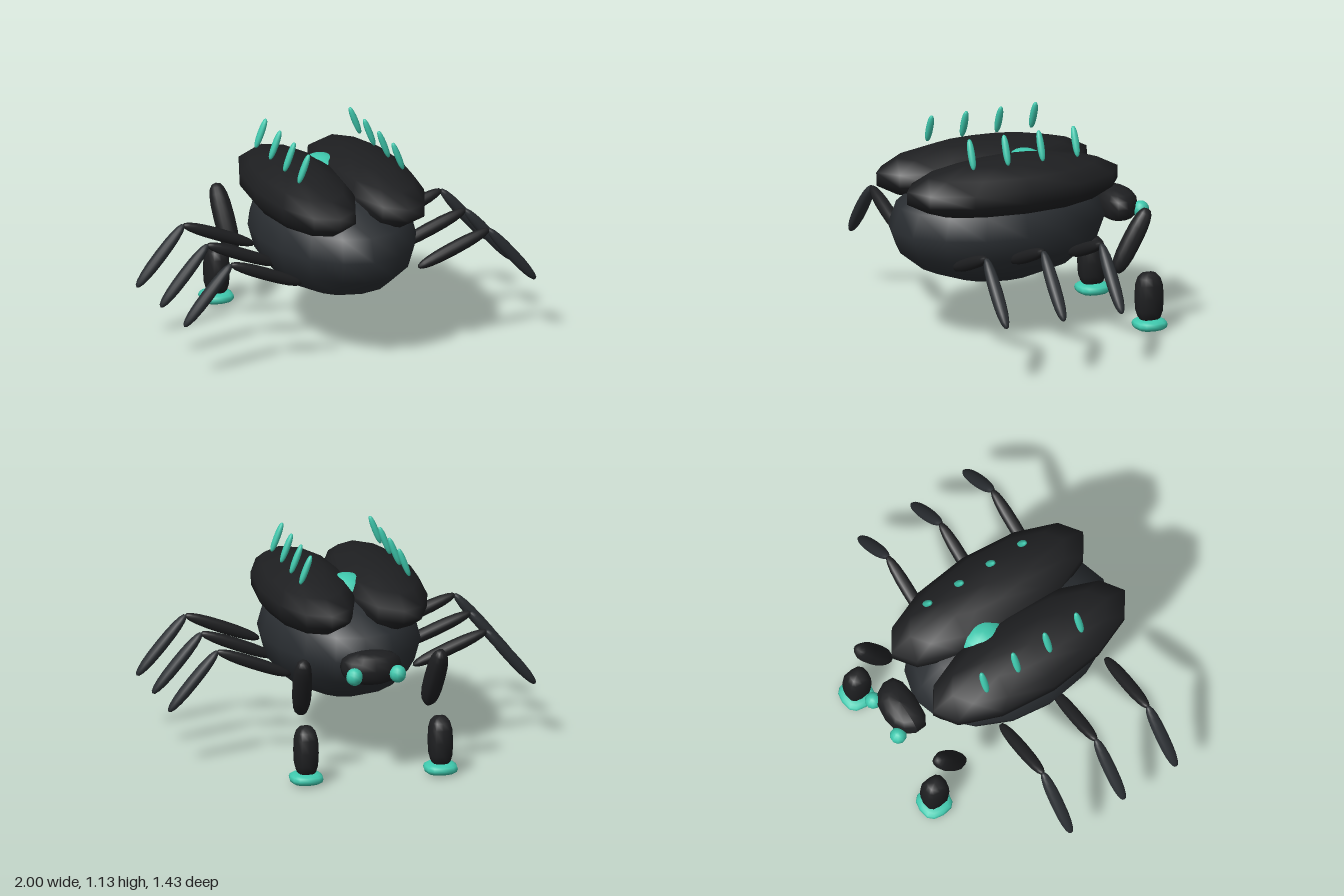
import * as THREE from 'three';

const shell = new THREE.MeshStandardMaterial({ color: 0x1e1f21 });
const hide = new THREE.MeshStandardMaterial({ color: 0x2a2e32 });
const teal = new THREE.MeshStandardMaterial({ color: 0x3fc9ae });

// Low-sided ellipsoid; power below 1 makes it boxier
function blob(name, material, pos, radii, w = 12, h = 7, power = 1) {
  const geo = new THREE.SphereGeometry(1, w, h);
  const p = geo.attributes.position;
  const bulge = (v) => Math.sign(v) * Math.pow(Math.abs(v) < 1e-6 ? 0 : Math.abs(v), power);
  for (let i = 0; i < p.count; i++) {
    p.setXYZ(i, bulge(p.getX(i)) * radii[0], bulge(p.getY(i)) * radii[1], bulge(p.getZ(i)) * radii[2]);
    // exact ellipsoid-style normals keep the seam smooth
    const e = 2 / power - 1;
    const n = [p.getX(i), p.getY(i), p.getZ(i)].map((v, k) =>
      Math.sign(v) * Math.pow(Math.abs(v / radii[k]), e) / radii[k]);
    const len = Math.hypot(...n);
    geo.attributes.normal.setXYZ(i, n[0] / len, n[1] / len, n[2] / len);
  }
  const mesh = new THREE.Mesh(geo, material);
  mesh.name = name;
  mesh.position.set(...pos);
  return mesh;
}

// Long blob stretched from point a to point b
function limb(name, material, a, b, rx, rz, power = 0.85) {
  const A = new THREE.Vector3(...a), B = new THREE.Vector3(...b);
  const dir = B.clone().sub(A);
  const mid = A.clone().add(B).multiplyScalar(0.5);
  const mesh = blob(name, material, mid.toArray(), [rx, dir.length() / 2, rz], 12, 10, power);
  mesh.quaternion.setFromUnitVectors(new THREE.Vector3(0, 1, 0), dir.normalize());
  return mesh;
}

export function createModel() {
  const model = new THREE.Group();
  model.name = 'beetle';

  // Body, head and the jewel in the valley between the wing cases
  model.add(blob('body', hide, [0, 0.6, 0.11], [0.417, 0.32, 0.6], 16, 8));
  const head = blob('head', shell, [0, 0.605, -0.58], [0.18, 0.088, 0.1], 12, 8, 0.8);
  const hp = head.geometry.attributes.position;
  for (let i = 0; i < hp.count; i++) {
    hp.setX(i, hp.getX(i) * (0.9 + 1.6 * hp.getZ(i))); // narrower at the front
  }
  head.geometry.computeVertexNormals();
  model.add(head);
  model.add(blob('jewel', teal, [0, 0.868, -0.05], [0.12, 0.095, 0.13], 12, 8));

  for (const s of [1, -1]) {
    const side = new THREE.Group();
    side.name = s > 0 ? 'leftSide' : 'rightSide';

    // Wing case
    const wing = blob('wingCase', shell, [s * 0.195, 0.837, 0.107], [0.243, 0.158, 0.623], 12, 7);
    wing.rotation.z = -s * 0.05;
    side.add(wing);

    // Spines above the wing case
    for (const z of [0.375, 0.175, -0.025, -0.225]) {
      side.add(limb('spine', teal, [s * 0.297, 0.977, z], [s * 0.237, 1.132, z], 0.017, 0.019));
    }

    // Eye
    side.add(blob('eye', teal, [s * 0.118, 0.587, -0.67], [0.045, 0.047, 0.045], 10, 8));

    // Three jointed side legs
    for (const z of [-0.165, 0.17, 0.5]) {
      side.add(limb('upperLeg', shell, [s * 0.33, 0.465, z], [s * 0.735, 0.625, z], 0.034, 0.036));
      side.add(limb('lowerLeg', hide, [s * 0.728, 0.628, z], [s * 0.997, 0.312, z], 0.031, 0.035));
    }

    // Front leg with separate shin and foot
    side.add(limb('frontThigh', shell, [s * 0.375, 0.67, -0.595], [s * 0.345, 0.33, -0.42], 0.052, 0.052, 0.75));
    side.add(blob('frontShin', shell, [s * 0.365, 0.18, -0.606], [0.064, 0.138, 0.074], 12, 8, 0.7));
    side.add(blob('frontFoot', teal, [s * 0.365, 0.034, -0.609], [0.09, 0.032, 0.09], 12, 8, 0.75));
    model.add(side);
  }
  return model;
}
